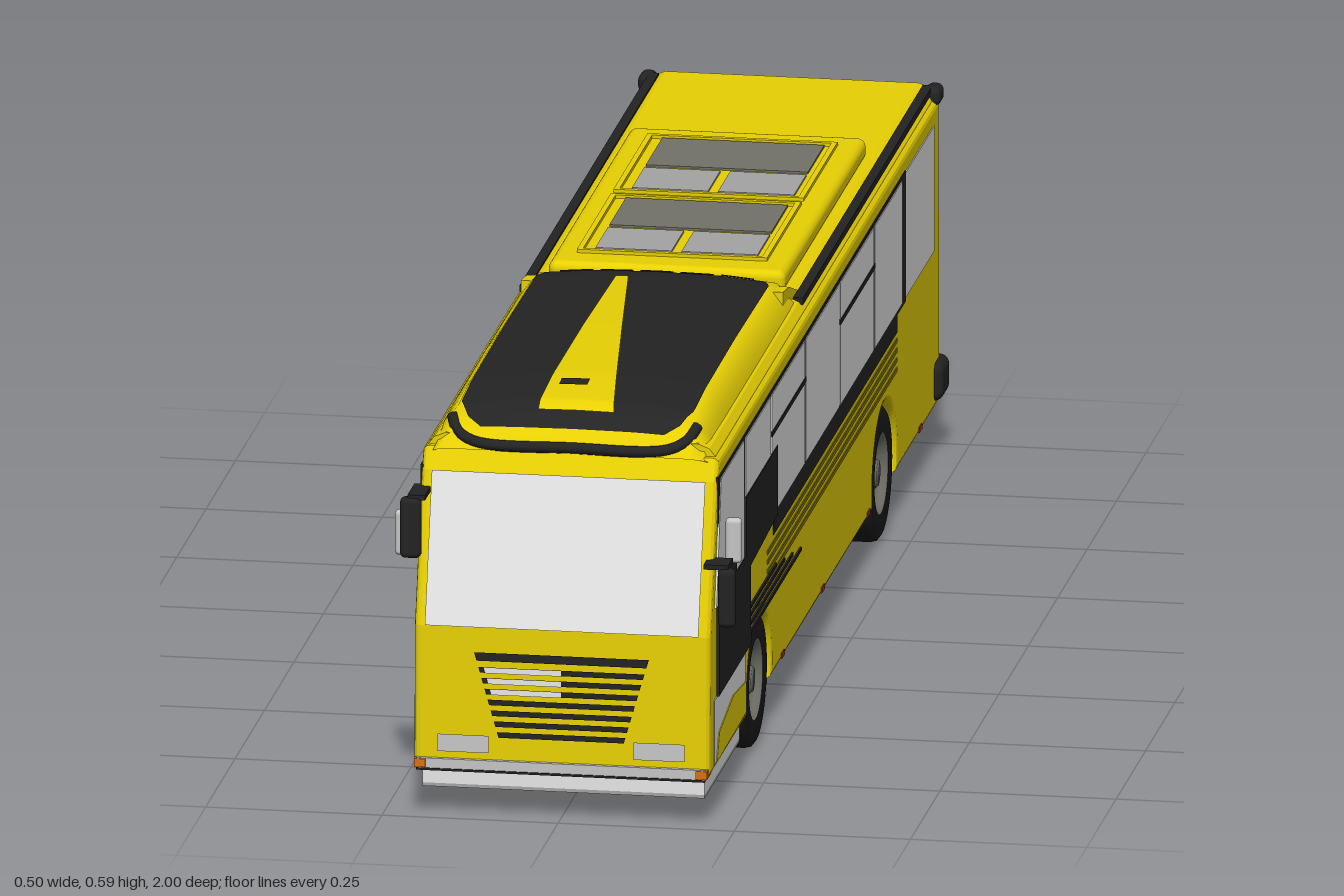
import * as THREE from 'three';
import { RoundedBoxGeometry } from 'three/addons/geometries/RoundedBoxGeometry.js';

const mat = (name, color, side = THREE.FrontSide) =>
  Object.assign(new THREE.MeshStandardMaterial({ color, side }), { name });

export function createModel() {
  const D = THREE.DoubleSide;
  const yellow = mat('yellow paint', 0xf0d804, D), black = mat('black trim', 0x232323, D);
  const glass = mat('pale glass', 0xe8e8e8, D), grey = mat('grey panel', 0xa4a4a4, D);
  const dark = mat('dark hatch and rim', 0x72726a, D), lamp = mat('lamp grey', 0xc6c6c6, D);
  const rubber = mat('tyre rubber', 0x1b1b1b), orange = mat('orange lamp', 0xdc7010);
  const red = mat('red lamp', 0xb03522), olive = mat('olive stripe', 0x8a7c10);

  const root = new THREE.Group();
  root.name = 'bus';
  const bus = new THREE.Group();
  bus.name = 'busBody';
  bus.position.x = 0.003;
  root.add(bus);

  const add = (name, geo, m, x = 0, y = 0, z = 0, parent = bus) => {
    const o = new THREE.Mesh(geo, m);
    o.name = name;
    o.position.set(x, y, z);
    parent.add(o);
    return o;
  };
  // box given by its limits
  const box = (name, m, x0, x1, y0, y1, z0, z1, r = 0) => {
    const s = [x1 - x0, y1 - y0, z1 - z0];
    const g = r ? new RoundedBoxGeometry(...s, 3, r) : new THREE.BoxGeometry(...s);
    return add(name, g, m, (x0 + x1) / 2, (y0 + y1) / 2, (z0 + z1) / 2);
  };
  // slab with its outline in (z, y), its inner face at x
  const slab = (name, m, pts, depth, x) => {
    const s = new THREE.Shape(pts.map(p => new THREE.Vector2(...p)));
    const g = new THREE.ExtrudeGeometry(s, { depth, bevelEnabled: false });
    g.rotateY(-Math.PI / 2);
    return add(name, g, m, x);
  };
  // thin plate on a side wall
  const plate = (name, m, side, pts, layer = 0) => slab(name, m, pts, 0.004, side * (0.2095 + 0.0013 * layer) + 0.002);
  const rect = (name, m, side, z0, z1, y0, y1, layer = 0) =>
    plate(name, m, side, [[z0, y0], [z1, y0], [z1, y1], [z0, y1]], layer);
  // smooth grid surface from f(u, v) -> [x, y, z]
  const surf = (name, m, nu, nv, f) => {
    const pos = [], idx = [];
    for (let i = 0; i <= nu; i++) for (let j = 0; j <= nv; j++) pos.push(...f(i / nu, j / nv));
    for (let i = 0; i < nu; i++) for (let j = 0; j < nv; j++) {
      const a = i * (nv + 1) + j, b = a + nv + 1;
      idx.push(a, b, a + 1, b, b + 1, a + 1);
    }
    const g = new THREE.BufferGeometry();
    g.setAttribute('position', new THREE.Float32BufferAttribute(pos, 3));
    g.setIndex(idx);
    g.computeVertexNormals();
    return add(name, g, m);
  };
  const interp = (tab, t) => {
    if (t <= tab[0][0]) return tab[0][1];
    for (let i = 1; i < tab.length; i++) if (t <= tab[i][0]) {
      const [a, va] = tab[i - 1], [b, vb] = tab[i];
      return va + (vb - va) * (t - a) / (b - a);
    }
    return tab[tab.length - 1][1];
  };
  const lerp = THREE.MathUtils.lerp;

  // main shell: side profile with wheel arches, extruded across the width
  const axles = [-0.5, 0.565], wheelY = 0.097, archR = 0.1;
  const front = [[0.07, 0.99], [0.275, 0.985], [0.485, 0.925], [0.515, 0.908]];
  const dip = Math.asin((wheelY - 0.07) / archR);
  const shell = new THREE.Shape();
  shell.moveTo(-0.97, 0.07);
  for (const z of axles) {
    shell.lineTo(z - archR * Math.cos(dip), 0.07);
    shell.absarc(z, wheelY, archR, Math.PI + dip, -dip, true);
  }
  front.forEach(([y, z]) => shell.lineTo(z, y));
  shell.lineTo(-0.968, 0.515);
  const bv = 0.01;
  const shellGeo = new THREE.ExtrudeGeometry(shell, {
    depth: 0.42 - 2 * bv, bevelSize: bv, bevelThickness: bv, bevelOffset: -bv, bevelSegments: 3, curveSegments: 20 });
  shellGeo.rotateY(-Math.PI / 2);
  add('bodyShell', shellGeo, yellow, 0.21 - bv);

  // roof cap
  const roof = new THREE.Shape([[-0.206, 0.5], [0.206, 0.5], [0.203, 0.516], [0.195, 0.526], [0.18, 0.532],
    [-0.18, 0.532], [-0.195, 0.526], [-0.203, 0.516]].map(p => new THREE.Vector2(...p)));
  add('roofCap', new THREE.ExtrudeGeometry(roof, { depth: 1.87, bevelEnabled: false }), yellow, 0, 0, -0.97);

  // raised roof pod: height along z times a rounded cross-section
  const podH = [[0.125, 0.02], [0.165, 0.058], [0.22, 0.066], [0.5, 0.07], [0.75, 0.068], [0.86, 0.06], [0.893, 0.036], [0.915, 0.004]];
  const podX = [[0, 1], [0.09, 0.97], [0.168, 0.85], [0.188, 0.45], [0.195, 0]];
  const podY = (x, z) => 0.51 + interp(podH, z) * interp(podX, Math.abs(x));
  const podStops = podH.map((p, i) => [i / 7, p[0]]);
  const rim = [-0.195, -0.188, -0.168, -0.09, 0, 0.09, 0.168, 0.188, 0.195].map((x, i) => [i / 8, x]);
  surf('roofPod', yellow, 7, 8, (u, v) => {
    const z = interp(podStops, u), x = interp(rim, v);
    return [x, podY(x, z), z];
  });
  const podPatch = (name, m, z0, z1, left, right, off) => surf(name, m, 48, 16, (u, v) => {
    const z = lerp(z0, z1, u), x = lerp(left(z), right(z), v);
    return [x, podY(x, z) + off, z];
  });
  const k = v => () => v;
  const panelW = z => interp([[0.185, 0.155], [0.21, 0.165], [0.85, 0.165], [0.88, 0.152], [0.896, 0.13]], z);
  podPatch('podTopPanel', black, 0.185, 0.896, z => -panelW(z), panelW, 0.003);
  podPatch('podWedge', yellow, 0.24, 0.874, z => lerp(-0.048, -0.052, (z - 0.24) / 0.634),
    z => lerp(-0.03, 0.055, (z - 0.24) / 0.634), 0.006);
  podPatch('podWedgeNotch', black, 0.775, 0.8, k(-0.035), k(0.005), 0.008);
  for (let i = 0; i < 5; i++) {
    const x = -0.14 + i * 0.057;
    podPatch('podVent', black, 0.13, 0.163, k(x), k(x + 0.047), 0.003);
  }
  for (const x of [-0.162, 0.186]) slab('podCheek', yellow, [[0.08, 0.525], [0.22, 0.525], [0.22, 0.562], [0.17, 0.556]], 0.024, x);
  const brow = [[-0.174, 0.55, 0.872], [-0.162, 0.534, 0.895], [-0.135, 0.523, 0.908], [0, 0.521, 0.911],
    [0.135, 0.523, 0.908], [0.162, 0.534, 0.895], [0.174, 0.55, 0.872]].map(p => new THREE.Vector3(...p));
  add('podBrow', new THREE.TubeGeometry(new THREE.CatmullRomCurve3(brow), 40, 0.008, 8), black);

  // roof equipment box with two framed hatches
  box('roofBox', yellow, -0.168, 0.168, 0.525, 0.557, -0.6, 0.1, 0.012);
  for (const z of [-0.55, -0.24]) {
    for (const x of [-0.135, 0.127]) box('hatchFrame', yellow, x, x + 0.008, 0.555, 0.562, z, z + 0.29);
    for (const dz of [0, 0.282]) box('hatchFrame', yellow, -0.135, 0.135, 0.555, 0.562, z + dz, z + dz + 0.008);
    box('hatchDark', dark, -0.112, 0.118, 0.554, 0.56, z + 0.012, z + 0.152);
    for (const x of [-0.112, 0.01]) box('hatchLight', grey, x, x + 0.108, 0.554, 0.56, z + 0.165, z + 0.27);
  }

  // front face pieces that follow its slope
  const face = (name, m, y0, y1, x0, x1, off = 0.003) => surf(name, m, 2, 1, (u, v) => {
    const y = lerp(y0, y1, u);
    return [lerp(x0(y), x1(y), v), y, interp(front, y) + off];
  });
  face('windscreen', glass, 0.276, 0.485, k(-0.194), k(0.194));
  const gl = y => lerp(-0.088, -0.124, (y - 0.115) / 0.125);
  face('grilleTop', black, 0.228, 0.24, gl, y => -gl(y));
  for (let i = 0; i < 7; i++) {
    const y = 0.211 - i * 0.0155;
    face('grilleSlat', black, y, y + 0.008, gl, y2 => -gl(y2));
    if (i < 3) face('grilleGap', glass, y, y + 0.008, y2 => gl(y2) + 0.008, k(0), 0.005);
  }
  box('frontBumperStrip', lamp, -0.205, 0.205, 0.068, 0.085, 0.95, 0.996);
  box('frontBumperSeam', black, -0.205, 0.205, 0.068, 0.071, 0.96, 0.998);
  for (const s of [-1, 1]) {
    face('headlight', lamp, 0.095, 0.12, k(s * 0.139 - 0.036), k(s * 0.139 + 0.036));
    box('frontIndicator', orange, s * 0.2 - 0.008, s * 0.2 + 0.008, 0.072, 0.084, 0.96, 0.998);
  }

  // rear face
  box('rearWindow', glass, -0.197, 0.197, 0.3, 0.483, -0.974, -0.966);
  box('rearBumper', black, -0.222, 0.222, 0.082, 0.138, -0.988, -0.918, 0.014);
  box('towHitch', lamp, -0.15, -0.1, 0.07, 0.082, -1, -0.93);
  for (const s of [-1, 1]) {
    box('rearLampUpper', red, s * 0.16 - 0.013, s * 0.16 + 0.013, 0.195, 0.23, -0.976, -0.966);
    box('rearLampLower', orange, s * 0.16 - 0.013, s * 0.16 + 0.013, 0.16, 0.195, -0.976, -0.966);
  }

  // both sides: windows, livery, markers, roof rails
  for (const s of [-1, 1]) {
    rect('windowSurround', black, s, -0.67, 0.92, 0.3, 0.49);
    const cuts = [-0.636, -0.398, -0.102, 0.188, 0.478];
    for (let i = 0; i < 4; i++) {
      rect('sideWindow', glass, s, cuts[i] + 0.004, cuts[i + 1] - 0.004, 0.307, 0.485, 1);
      if (i % 2) rect('windowBar', black, s, cuts[i], cuts[i + 1], 0.425, 0.432, 2);
    }
    rect('forwardWindow', glass, s, 0.482, 0.695, 0.307, 0.485, 1);
    plate('cabWindow', glass, s, [[0.71, 0.307], [0.945, 0.307], [0.905, 0.485], [0.71, 0.485]], 1);
    rect('beltStripe', black, s, -0.6, 0.45, 0.275, 0.307);
    for (let i = 0; i < 4; i++) {
      rect('thinStripe', olive, s, -0.6, 0.5, 0.218 + i * 0.014, 0.224 + i * 0.014);
      rect('speedLine', black, s, 0.22 + i * 0.07, 0.65, 0.188 + i * 0.012, 0.193 + i * 0.012, 1);
    }
    plate('frontLivery', black, s, [[0.65, 0.175], [0.93, 0.175], [0.93, 0.305], [0.85, 0.31], [0.84, 0.345], [0.78, 0.345],
      [0.78, 0.315], [0.7, 0.315], [0.7, 0.4], [0.43, 0.4], [0.43, 0.3], [0.66, 0.29], [0.66, 0.2]], 2);
    rect('lowerFrontPanel', glass, s, 0.69, 0.955, 0.082, 0.175);
    plate('lowerSwoosh', yellow, s, [[0.69, 0.085], [0.94, 0.082], [0.92, 0.12], [0.8, 0.14], [0.69, 0.13]], 1);
    for (const z of [0.37, 0.03, -0.36, -0.8]) rect('sideMarker', red, s, z - 0.012, z + 0.012, 0.075, 0.083);
    box('roofRail', black, s * 0.194 - 0.007, s * 0.194 + 0.007, 0.522, 0.532, -0.96, 0.14);
    box('roofRailEnd', black, s * 0.203 - 0.012, s * 0.203 + 0.012, 0.506, 0.533, -0.98, -0.94, 0.01);
  }
  rect('rearSideWindow', glass, 1, -0.915, -0.67, 0.305, 0.487);
  // rear door and front doors on the other side
  rect('rearDoorPanel', black, -1, -0.93, -0.64, 0.305, 0.487);
  rect('rearDoorWindow', glass, -1, -0.82, -0.69, 0.305, 0.483, 1);
  rect('doorSeam', olive, -1, -0.824, -0.82, 0.085, 0.305);
  rect('doorLivery', black, -1, 0.43, 0.68, 0.26, 0.47, 3);
  rect('doorLivery', black, -1, 0.73, 0.91, 0.25, 0.42, 3);

  // underside
  box('floorPan', black, -0.2, 0.2, 0.063, 0.075, -0.395, 0.46);
  box('rearFloor', black, -0.2, 0.2, 0.063, 0.075, -0.96, -0.605);
  box('rearUnderPan', glass, -0.19, 0.19, 0.043, 0.046, -0.94, -0.62);
  box('frontSkirt', glass, -0.2, 0.2, 0.042, 0.069, 0.675, 0.97);
  box('frontUnderPan', grey, -0.2, 0.2, 0.037, 0.042, 0.675, 0.97);
  box('frontUnderPanMiddle', grey, -0.125, 0.125, 0.037, 0.069, 0.45, 0.68);
  for (const s of [-1, 1]) box('archFlap', glass, s * 0.165 - 0.035, s * 0.165 + 0.035, 0.04, 0.071, 0.44, 0.455);

  // wheels and wheel wells
  const tyreGeo = new THREE.LatheGeometry([[0.058, -0.03], [0.088, -0.031], [0.095, -0.026], [0.097, -0.018], [0.097, 0.018],
    [0.095, 0.026], [0.088, 0.031], [0.058, 0.03]].map(p => new THREE.Vector2(...p)), 36).rotateZ(-Math.PI / 2);
  const rimGeo = new THREE.LatheGeometry([[0, 0.026], [0.018, 0.026], [0.022, 0.012], [0.042, 0.012], [0.05, 0.022],
    [0.06, 0.03]].map(p => new THREE.Vector2(...p)), 32).rotateZ(-Math.PI / 2);
  const boltGeo = new THREE.CylinderGeometry(0.0035, 0.0035, 0.008, 6).rotateZ(Math.PI / 2);
  const holeGeo = new THREE.CylinderGeometry(0.005, 0.005, 0.004, 10).rotateZ(Math.PI / 2);
  const halfDrum = (r, w, open) => new THREE.CylinderGeometry(r, r, w, 24, 1, open, 0, Math.PI).rotateZ(Math.PI / 2);
  axles.forEach((z, a) => {
    add('wheelWell', halfDrum(0.0985, 0.396, true), black, 0, wheelY, z);
    add('wheelWellInner', halfDrum(0.108, 0.15, false), black, 0, wheelY, z);
    add('axle', new THREE.CylinderGeometry(0.015, 0.015, 0.3, 12).rotateZ(Math.PI / 2), black, 0, wheelY, z);
    for (const s of [-1, 1]) {
      const w = new THREE.Group();
      w.name = a ? 'frontWheel' : 'rearWheel';
      w.position.set(s * 0.175, wheelY, z);
      if (s < 0) w.rotation.y = Math.PI;
      bus.add(w);
      add('tyre', tyreGeo, rubber, 0, 0, 0, w);
      if (!a) add('innerTyre', tyreGeo, rubber, -0.063, 0, 0, w);
      add('rim', rimGeo, dark, 0, 0, 0, w);
      for (let i = 0; i < 10; i++) {
        const t = i * Math.PI / 5;
        add('wheelBolt', boltGeo, grey, 0.015, 0.029 * Math.cos(t), 0.029 * Math.sin(t), w);
        add('rimHole', holeGeo, black, 0.015, 0.045 * Math.cos(t + 0.3), 0.045 * Math.sin(t + 0.3), w);
      }
    }
  });

  // mirrors on short arms
  box('rightMirror', black, -0.231, -0.201, 0.37, 0.458, 0.965, 0.985, 0.008);
  box('rightMirrorGlass', lamp, -0.252, -0.229, 0.35, 0.415, 0.885, 0.9, 0.006);
  box('rightMirrorArm', black, -0.22, -0.195, 0.455, 0.462, 0.92, 0.98);
  box('rightMirrorArm', black, -0.235, -0.2, 0.39, 0.395, 0.89, 0.897);
  box('leftMirror', black, 0.22, 0.245, 0.29, 0.375, 0.965, 0.985, 0.008);
  box('leftMirrorGlass', lamp, 0.217, 0.24, 0.36, 0.425, 0.885, 0.9, 0.006);
  box('leftMirrorArm', black, 0.2, 0.235, 0.373, 0.38, 0.94, 0.98);
  return root;
}
